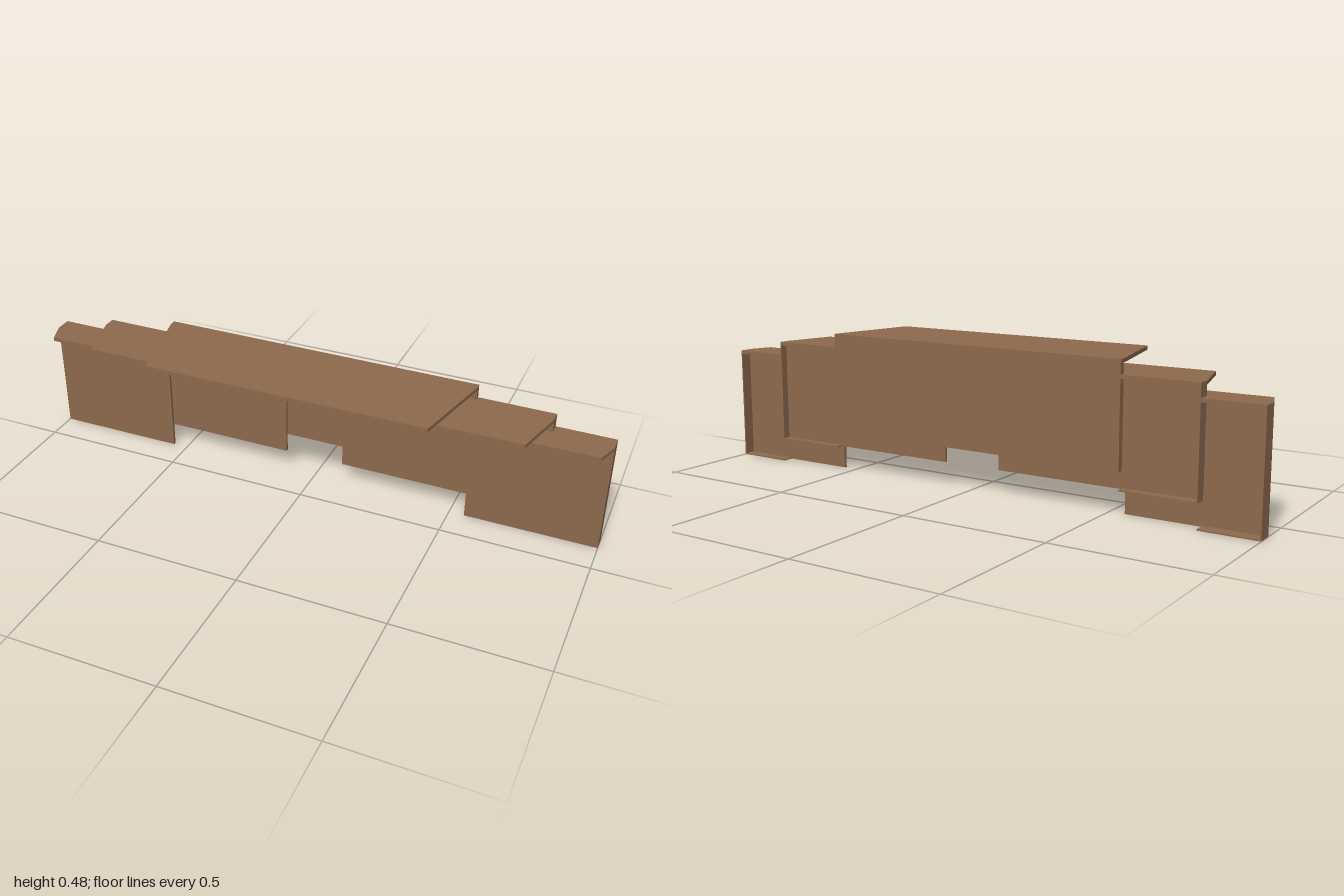
import * as THREE from 'three';

const BACK = -0.16;

export function createModel() {
  const group = new THREE.Group();
  const brown = new THREE.MeshStandardMaterial({ color: 0x8c694c });
  brown.name = 'brown';

  // The front faces are very slightly askew; the back stays flat
  const add = (geo, name, parent) => {
    const p = geo.attributes.position;
    for (let i = 0; i < p.count; i++) {
      if (p.getZ(i) > -0.155) p.setZ(i, p.getZ(i) - 0.0035 * p.getX(i));
    }
    geo.computeVertexNormals();
    const mesh = new THREE.Mesh(geo, brown);
    mesh.name = name;
    parent.add(mesh);
  };

  // Box from its limits on each axis
  const block = (name, parent, x0, x1, y0, y1, z0, z1) => {
    const geo = new THREE.BoxGeometry(Math.abs(x1 - x0), y1 - y0, z1 - z0);
    geo.translate((x0 + x1) / 2, (y0 + y1) / 2, (z0 + z1) / 2);
    add(geo, name, parent);
  };

  // Flat slab from an outline of [x, z] points
  const slab = (name, parent, outline, y0, y1, side) => {
    const shape = new THREE.Shape(outline.map(([x, z]) => new THREE.Vector2(x * side, -z)));
    const geo = new THREE.ExtrudeGeometry(shape, { depth: y1 - y0, bevelEnabled: false });
    geo.rotateX(-Math.PI / 2);
    geo.translate(0, y0, 0);
    add(geo, name, parent);
  };

  // Centre section: solid wall and deep tapered canopy
  const centre = new THREE.Group();
  centre.name = 'centreSection';
  group.add(centre);
  block('centreWall', centre, -0.55, 0.55, 0.138, 0.467, BACK, -0.141);
  slab('centreCanopy', centre,
    [[-0.55, BACK], [0.55, BACK], [0.55, -0.141], [0.483, 0.1565], [-0.483, 0.1565], [-0.55, -0.141]],
    0.467, 0.48, 1);

  // Side sections: open-backed casings whose front panel runs inward in front of the next one
  const sections = [
    { name: 'middle', inner: 0.105, step: 0.55, outer: 0.805, bottom: 0.08, top: 0.434,
      front: -0.1215, behind: -0.141, lip: 0.0565, innerTaper: 0.035, outerTaper: 0.047 },
    { name: 'outer', inner: 0.552, step: 0.805, outer: 1, bottom: 0, top: 0.389,
      front: -0.1085, behind: -0.1215, lip: -0.0335, innerTaper: 0.03, outerTaper: 0.027 },
  ];
  const T = 0.004;
  for (const side of [1, -1]) {
    for (const s of sections) {
      const part = new THREE.Group();
      part.name = s.name + (side > 0 ? 'LeftSection' : 'RightSection');
      group.add(part);
      const under = s.top - 0.0125;
      block('frontPanel', part, side * s.inner, side * s.outer, s.bottom, under, s.front - 0.01, s.front);
      block('endWall', part, side * (s.outer - T), side * s.outer, s.bottom, under, BACK, s.front - 0.01);
      block('bottomLedge', part, side * s.step, side * (s.outer - T), s.bottom, s.bottom + T, BACK, s.front - 0.01);
      slab('canopy', part, [
        [s.inner, s.behind], [s.step, s.behind], [s.step, BACK], [s.outer, BACK], [s.outer, s.front],
        [s.outer - s.outerTaper, s.lip], [s.inner + s.innerTaper, s.lip], [s.inner, s.front],
      ], under, s.top, side);
    }
  }
  return group;
}
